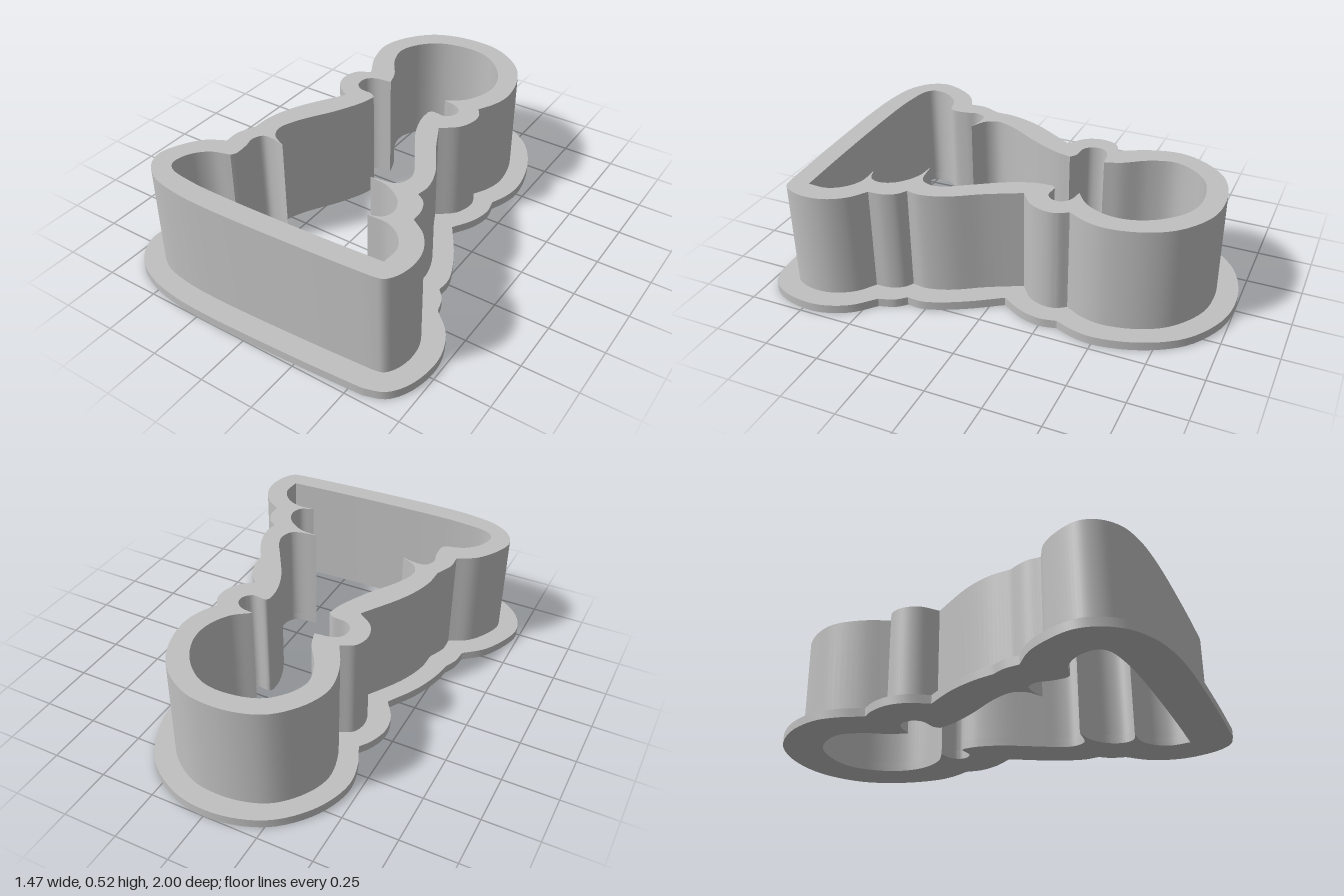
import * as THREE from 'three';
import { toCreasedNormals } from 'three/addons/utils/BufferGeometryUtils.js';

// Outlines are [x, z] runs; each run is a smooth curve, and runs meet at sharp corners.
const flangeRuns = [
  [[-0.4, -0.385], [-0.445, -0.49], [-0.462, -0.61], [-0.41, -0.77], [-0.29, -0.91], [-0.155, -0.977], [0, -1],
    [0.15, -0.975], [0.32, -0.87], [0.425, -0.7], [0.468, -0.51], [0.455, -0.41], [0.425, -0.33]],
  [[0.425, -0.33], [0.438, -0.25], [0.415, -0.155], [0.36, -0.06]],
  [[0.36, -0.06], [0.45, 0.08], [0.51, 0.2], [0.53, 0.27], [0.527, 0.335]],
  [[0.527, 0.335], [0.565, 0.38], [0.588, 0.45]],
  [[0.588, 0.45], [0.675, 0.535], [0.723, 0.64], [0.732, 0.74], [0.705, 0.86], [0.65, 0.937], [0.565, 0.97]],
  [[0.565, 0.97], [0.24, 0.988], [-0.21, 1], [-0.39, 0.99], [-0.53, 0.96], [-0.645, 0.9], [-0.715, 0.81],
    [-0.735, 0.72], [-0.7, 0.6], [-0.645, 0.505], [-0.562, 0.43]],
  [[-0.562, 0.43], [-0.555, 0.36], [-0.53, 0.3]],
  [[-0.53, 0.3], [-0.515, 0.21], [-0.47, 0.08], [-0.39, -0.06]],
  [[-0.39, -0.06], [-0.445, -0.15], [-0.46, -0.24], [-0.435, -0.33], [-0.4, -0.385]],
];
const wallRuns = [
  [[-0.28, -0.345], [-0.345, -0.475], [-0.37, -0.61], [-0.33, -0.73], [-0.235, -0.84], [-0.13, -0.887], [0, -0.903],
    [0.125, -0.883], [0.265, -0.79], [0.34, -0.67], [0.373, -0.51], [0.355, -0.415], [0.315, -0.335]],
  [[0.315, -0.335], [0.342, -0.29], [0.347, -0.24], [0.32, -0.165], [0.245, -0.1]],
  [[0.245, -0.1], [0.32, 0.05], [0.405, 0.195], [0.433, 0.3], [0.425, 0.362]],
  [[0.425, 0.362], [0.465, 0.39], [0.492, 0.445], [0.497, 0.51]],
  [[0.497, 0.51], [0.573, 0.565], [0.625, 0.65], [0.637, 0.74], [0.618, 0.82], [0.587, 0.86], [0.54, 0.871]],
  [[0.54, 0.871], [0.24, 0.888], [-0.21, 0.902], [-0.39, 0.894], [-0.525, 0.865], [-0.61, 0.803],
    [-0.641, 0.725], [-0.615, 0.635], [-0.55, 0.54], [-0.467, 0.49]],
  [[-0.467, 0.49], [-0.468, 0.42], [-0.435, 0.335]],
  [[-0.435, 0.335], [-0.43, 0.24], [-0.385, 0.105], [-0.26, -0.105]],
  [[-0.26, -0.105], [-0.335, -0.165], [-0.36, -0.24], [-0.34, -0.31], [-0.28, -0.345]],
];
const openingRuns = [
  [[-0.15, -0.32], [-0.177, -0.395], [-0.245, -0.5], [-0.275, -0.61], [-0.24, -0.7], [-0.155, -0.78], [0, -0.813],
    [0.11, -0.79], [0.215, -0.7], [0.273, -0.58], [0.273, -0.475], [0.225, -0.375], [0.15, -0.315]],
  [[0.15, -0.315], [0.215, -0.302], [0.247, -0.27], [0.247, -0.232], [0.215, -0.2], [0.15, -0.203], [0.137, -0.185]],
  [[0.137, -0.185], [0.142, -0.12], [0.178, -0.015], [0.273, 0.143], [0.325, 0.228], [0.34, 0.29], [0.315, 0.345],
    [0.2, 0.37]],
  [[0.2, 0.37], [0.293, 0.383], [0.378, 0.443], [0.405, 0.51], [0.388, 0.558], [0.33, 0.584]],
  [[0.33, 0.584], [0.425, 0.585], [0.493, 0.622], [0.537, 0.69], [0.537, 0.78]],
  [[0.537, 0.78], [0.24, 0.795], [-0.21, 0.806], [-0.39, 0.8], [-0.515, 0.776], [-0.546, 0.738],
    [-0.53, 0.66], [-0.47, 0.595], [-0.383, 0.565]],
  [[-0.383, 0.565], [-0.37, 0.545], [-0.372, 0.475], [-0.383, 0.42], [-0.36, 0.375], [-0.31, 0.37], [-0.245, 0.385]],
  [[-0.245, 0.385], [-0.315, 0.345], [-0.34, 0.29], [-0.31, 0.195], [-0.215, 0.035], [-0.155, -0.095], [-0.14, -0.16]],
  [[-0.14, -0.16], [-0.165, -0.18], [-0.235, -0.19], [-0.267, -0.222], [-0.267, -0.275], [-0.235, -0.305],
    [-0.15, -0.32]],
];

// Joins the runs into one closed outline in the shape plane (shape y = -z)
function outline(runs) {
  return runs.flatMap((run) => {
    const curve = new THREE.CatmullRomCurve3(run.map(([x, z]) => new THREE.Vector3(x, -z, 0)), false, 'centripetal');
    return curve.getPoints((run.length - 1) * 5).slice(0, -1).map((p) => new THREE.Vector2(p.x, p.y));
  });
}

// Upright ring between an outer outline and the shared opening
function ring(name, runs, bottom, top, material) {
  const shape = new THREE.Shape(outline(runs));
  // The opening winds opposite to the outer outline so its walls face inwards
  shape.holes.push(new THREE.Path(outline(openingRuns).reverse()));
  const geometry = new THREE.ExtrudeGeometry(shape, { depth: top - bottom, bevelEnabled: false });
  geometry.rotateX(-Math.PI / 2).translate(0, bottom, 0);
  const mesh = new THREE.Mesh(toCreasedNormals(geometry, 0.5), material);
  mesh.name = name;
  return mesh;
}

export function createModel() {
  const grey = new THREE.MeshStandardMaterial({ color: 0xc0c0c0 });
  grey.name = 'grey plastic';
  const group = new THREE.Group();
  group.name = 'pawnCookieCutter';
  group.add(ring('gripFlange', flangeRuns, 0, 0.04, grey)); // wide base rim
  group.add(ring('cutterWall', wallRuns, 0.04, 0.52, grey)); // tall wall
  return group;
}
